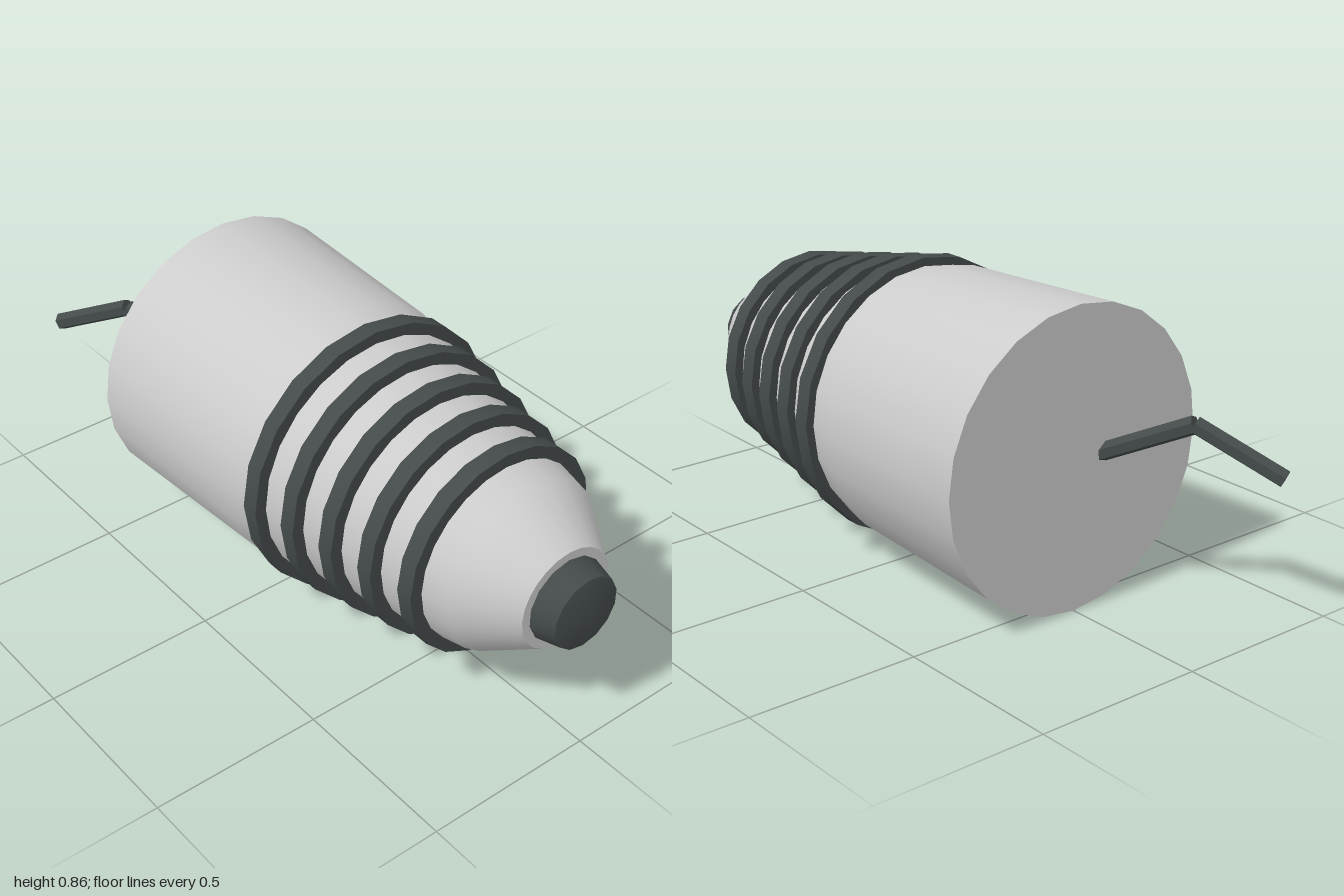
import * as THREE from 'three';
import { toCreasedNormals } from 'three/addons/utils/BufferGeometryUtils.js';

const AXIS_Y = 0.433;

// Solid of revolution about the long (x) axis; profile pairs are [x, radius]
function turned(name, profile, sides, material) {
  const points = profile.map(([x, r]) => new THREE.Vector2(r, x));
  let geometry = new THREE.LatheGeometry(points, sides, Math.PI / 2);
  geometry = toCreasedNormals(geometry, 0.5);
  geometry.rotateZ(-Math.PI / 2);
  const mesh = new THREE.Mesh(geometry, material);
  mesh.name = name;
  mesh.position.y = AXIS_Y;
  return mesh;
}

export function createModel() {
  const group = new THREE.Group();
  group.name = 'bandedCapsule';

  const shell = new THREE.MeshStandardMaterial({ color: 0xcccccc });
  shell.name = 'light grey shell';
  const rubber = new THREE.MeshStandardMaterial({ color: 0x444a4a });
  rubber.name = 'dark grey rubber';

  // Tapered body, closed at both ends
  group.add(turned('body', [
    [-0.557, 0], [-0.557, 0.431], [0, 0.407], [0.74, 0.259], [0.902, 0.15], [0.902, 0],
  ], 24, shell));

  // Five bands shrinking towards the nose
  for (let i = 0; i < 5; i++) {
    const x = 0.117 + i * 0.13;
    const r = 0.414 - i * 0.0256;
    group.add(turned('band' + (i + 1), [
      [x - 0.026, 0], [x - 0.026, r], [x + 0.026, r], [x + 0.026, 0],
    ], 20, rubber));
  }

  // Nose plug with a shallow pointed tip
  group.add(turned('nosePlug', [[0.895, 0], [0.895, 0.127], [0.975, 0.108], [0.998, 0]], 14, rubber));

  // Bent cable leaving the rear face
  const points = [
    new THREE.Vector3(-0.53, 0.426, 0.088),
    new THREE.Vector3(-0.775, 0.552, 0.208),
    new THREE.Vector3(-0.99, 0.44, 0.32),
  ];
  const path = new THREE.CurvePath();
  path.add(new THREE.LineCurve3(points[0], points[1]));
  path.add(new THREE.LineCurve3(points[1], points[2]));
  const cable = new THREE.Group();
  cable.name = 'cable';
  // One straight prism per stretch, with closed ends
  for (const line of path.curves) {
    const direction = line.v2.clone().sub(line.v1);
    const length = direction.length();
    const geometry = toCreasedNormals(new THREE.CylinderGeometry(0.026, 0.026, length, 6), 0.5);
    const stretch = new THREE.Mesh(geometry, rubber);
    stretch.name = 'cableStretch';
    stretch.position.copy(line.v1).add(line.v2).multiplyScalar(0.5);
    stretch.quaternion.setFromUnitVectors(new THREE.Vector3(0, 1, 0), direction.normalize());
    cable.add(stretch);
  }
  group.add(cable);
  return group;
}
